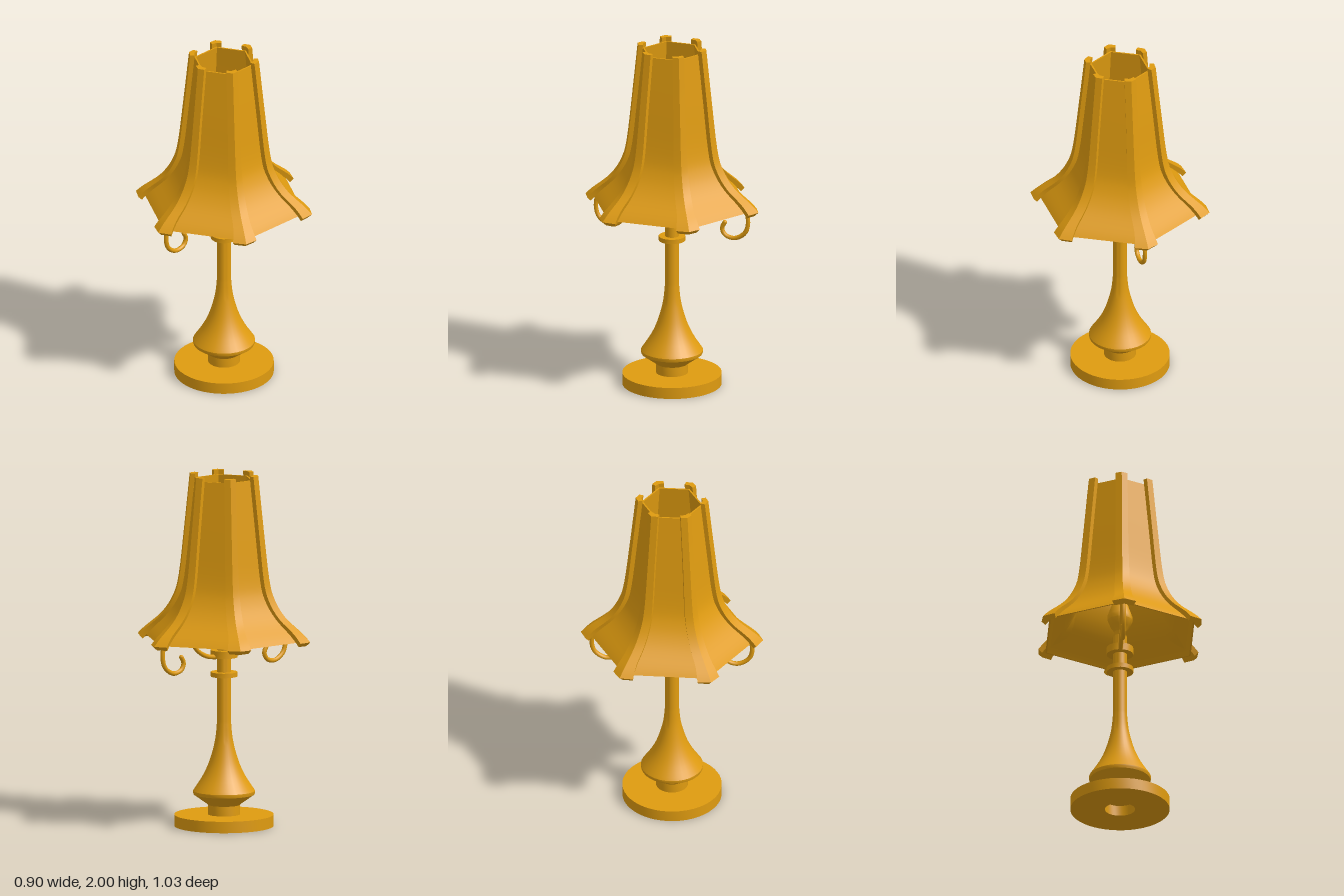
import * as THREE from 'three';
import { toCreasedNormals } from 'three/addons/utils/BufferGeometryUtils.js';

const material = new THREE.MeshStandardMaterial({ color: 0xdf9b10, side: THREE.DoubleSide });
const v2 = (p) => new THREE.Vector2(p[0], p[1]);
const spline = (pts, n) => new THREE.SplineCurve(pts.map(v2)).getPoints(n);

function add(parent, name, geometry) {
  const mesh = new THREE.Mesh(geometry, material);
  mesh.name = name;
  parent.add(mesh);
  return mesh;
}

const lathe = (pts, segments, crease) =>
  toCreasedNormals(new THREE.LatheGeometry(pts, segments), crease);

// Rib: a chevron section swept down the corner of the shade (corner faces +z)
function ribGeometry() {
  const path = spline([[0.515, 1.07], [0.475, 1.11], [0.37, 1.2], [0.304, 1.3],
    [0.27, 1.42], [0.237, 1.7], [0.205, 2]], 24);
  const n = path.length;
  const positions = [];
  const rings = path.map((p, i) => {
    const a = path[Math.max(i - 1, 0)], b = path[Math.min(i + 1, n - 1)];
    const t = b.clone().sub(a).normalize();
    // outward normal of the path; level at the flat top end
    const nr = i === n - 1 ? 1 : t.y, ny = i === n - 1 ? 0 : -t.x;
    const flare = Math.max(0, (1.14 - p.y) / 0.07);
    const w = 0.034 + 0.02 * Math.pow((2 - p.y) / 0.93, 3) + 0.014 * flare;
    const section = [[0, 0], [w, -0.5 * w], [w * 0.8, -0.5 * w - 0.028],
      [0, -0.036], [-w * 0.8, -0.5 * w - 0.028], [-w, -0.5 * w]];
    // wings drop back level along the hexagon, thickness follows the normal
    return section.map(([x, d]) => {
      const drop = -0.5 * Math.abs(x), thick = d - drop;
      return new THREE.Vector3(x, p.y + ny * thick * 0.9, p.x + drop + nr * thick * 0.9);
    });
  });
  const tri = (a, b, c) => [a, b, c].forEach((v) => positions.push(v.x, v.y, v.z));
  for (let i = 0; i < n - 1; i++) {
    for (let j = 0; j < 6; j++) {
      const k = (j + 1) % 6;
      const a = rings[i][j], b = rings[i][k], c = rings[i + 1][k], d = rings[i + 1][j];
      tri(a, b, c);
      tri(a, c, d);
    }
  }
  // End caps, split at the fold of the chevron
  [[0, 1, 2], [0, 2, 3], [0, 3, 4], [0, 4, 5]].forEach(([a, b, c]) => {
    tri(rings[0][a], rings[0][c], rings[0][b]);
    tri(rings[n - 1][a], rings[n - 1][b], rings[n - 1][c]);
  });
  const g = new THREE.BufferGeometry();
  g.setAttribute('position', new THREE.Float32BufferAttribute(positions, 3));
  return toCreasedNormals(g, 0.45);
}

export function createModel() {
  const lamp = new THREE.Group();
  lamp.name = 'tableLamp';

  // Base disc, hollow underneath
  add(lamp, 'base', lathe([[0, 0.06], [0.085, 0.06], [0.085, 0], [0.28, 0],
    [0.28, 0.065], [0, 0.065]].map(v2), 48, 0.6));

  // Neck, flared body and pole in one turned profile
  const body = spline([[0.175, 0.2], [0.12, 0.285], [0.08, 0.375], [0.05, 0.49],
    [0.039, 0.6]], 16);
  add(lamp, 'stem', lathe([[0.09, 0.06], [0.09, 0.12], [0.095, 0.125], [0.172, 0.18],
    [0.175, 0.19]].map(v2).concat(body, [[0.039, 1.07], [0, 1.07]].map(v2)), 32, 0.5));

  // Collars on the pole
  [[0.863, 0.026], [0.98, 0.042]].forEach(([y, h]) => {
    add(lamp, 'collar', toCreasedNormals(new THREE.CylinderGeometry(0.075, 0.075, h, 24), 0.6))
      .position.y = y;
  });

  // Flame-shaped bulb
  add(lamp, 'bulb', lathe([[0.032, 1.06], [0.032, 1.1], [0.055, 1.13], [0.072, 1.17],
    [0.07, 1.2], [0.052, 1.25], [0.03, 1.3], [0.015, 1.34], [0, 1.355]].map(v2), 10, 0.7));

  // Hexagonal shade: outer wall up, inner wall down
  const shade = new THREE.Group();
  shade.name = 'shade';
  lamp.add(shade);
  const wall = spline([[0.472, 1.07], [0.44, 1.105], [0.343, 1.2], [0.277, 1.3],
    [0.241, 1.42], [0.207, 1.7], [0.173, 1.975]], 24);
  const inner = wall.map((p) => new THREE.Vector2(p.x - 0.01, p.y)).reverse();
  add(shade, 'shadePanels', lathe([...wall, ...inner, wall[0].clone()], 6, 0.6));

  // Ribs over the six corners
  const rib = ribGeometry();
  for (let i = 0; i < 6; i++) add(shade, 'shadeRib', rib).rotation.y = (i * Math.PI) / 3;

  // Two scrolled arms from the upper collar to opposite corners
  const scroll = new THREE.CatmullRomCurve3([[0.06, 0.965], [0.13, 0.978], [0.195, 1.015],
    [0.24, 1.07], [0.3, 1.13], [0.37, 1.15], [0.425, 1.1], [0.453, 1.02], [0.437, 0.945],
    [0.375, 0.904], [0.317, 0.917], [0.298, 0.955], [0.315, 0.992]]
    .map(([r, y]) => new THREE.Vector3(r, y, 0)));
  const tube = new THREE.TubeGeometry(scroll, 56, 0.013, 8, false);
  const ends = [scroll.getPoint(0), scroll.getPoint(1)];
  for (let i = 0; i < 2; i++) {
    const arm = new THREE.Group();
    arm.name = 'scrollArm';
    arm.rotation.y = Math.PI / 6 + i * Math.PI;
    add(arm, 'armTube', tube);
    add(arm, 'armTip', new THREE.SphereGeometry(0.013, 8, 6)).position.copy(ends[1]);
    lamp.add(arm);
  }
  return lamp;
}
